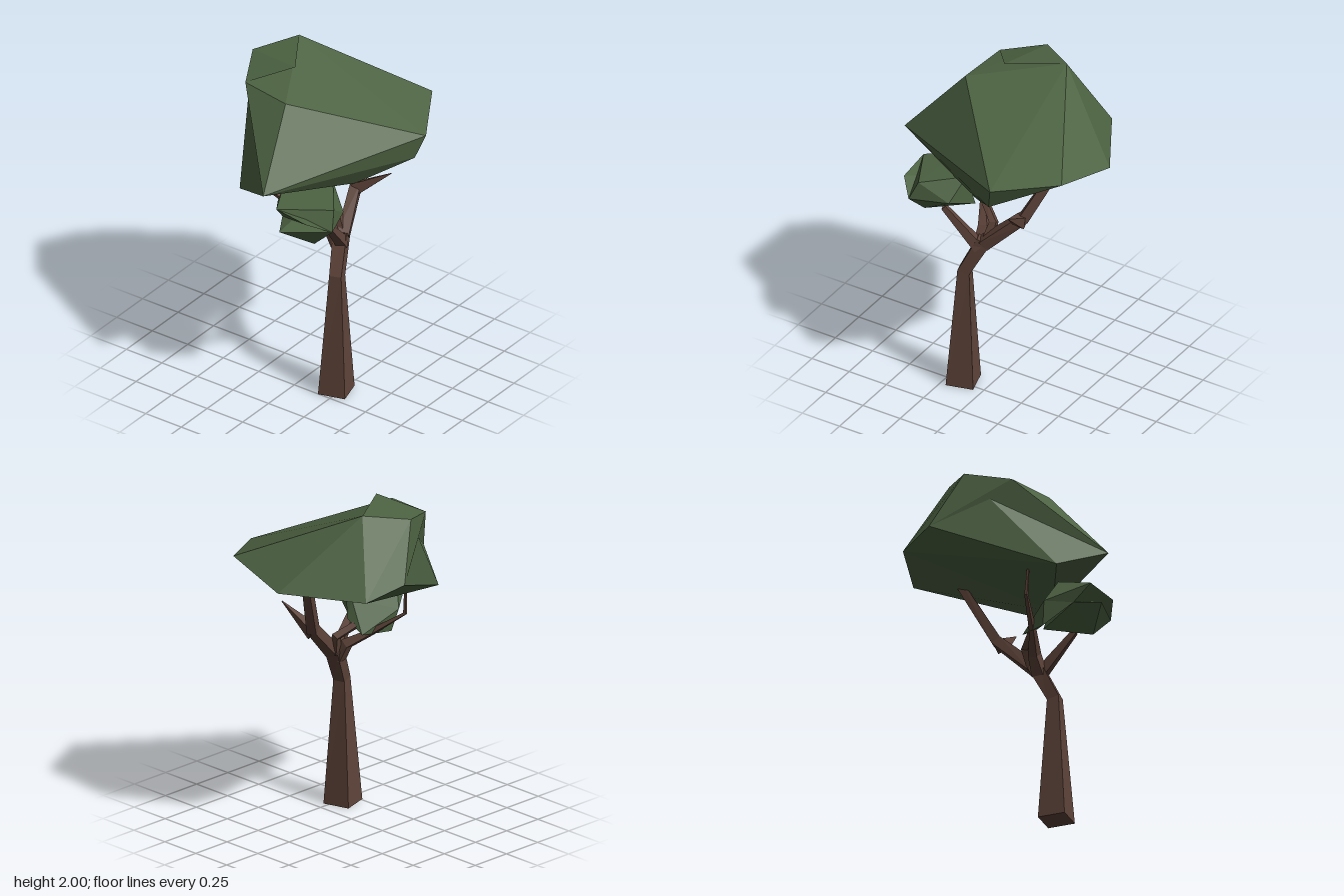
import * as THREE from 'three';
import { ConvexGeometry } from 'three/addons/geometries/ConvexGeometry.js';

const bark = new THREE.MeshStandardMaterial({ color: 0x5d4339, flatShading: true });
bark.name = 'bark brown';
const leaf = new THREE.MeshStandardMaterial({ color: 0x4d6342, flatShading: true });
leaf.name = 'leaf green';

// Four-sided tapering limb through rings of [x, y, z, corner radius]
function limb(name, rings) {
  const centres = rings.map(([x, y, z]) => new THREE.Vector3(x, y, z));
  const last = rings.length - 1;
  const pos = [];
  const idx = [0, 2, 1, 0, 3, 2];
  rings.forEach((ring, i) => {
    const dir = (a, b) => centres[b].clone().sub(centres[a]).normalize();
    const t = new THREE.Vector3();
    if (i > 0) t.add(dir(i - 1, i));
    if (i < last) t.add(dir(i, i + 1));
    t.normalize();
    const u = new THREE.Vector3(0.1, 0, 0.055);
    u.addScaledVector(t, -u.dot(t)).normalize();
    const v = new THREE.Vector3().crossVectors(t, u);
    for (let k = 0; k < 4; k++) {
      const p = centres[i].clone().addScaledVector(k % 2 ? v : u, k < 2 ? ring[3] : -ring[3]);
      pos.push(p.x, p.y, p.z);
      if (i < last) {
        const a = i * 4 + k, b = i * 4 + (k + 1) % 4;
        idx.push(a, b, b + 4, a, b + 4, a + 4);
      }
    }
  });
  const e = last * 4;
  idx.push(e, e + 1, e + 2, e, e + 2, e + 3);
  let geo = new THREE.BufferGeometry();
  geo.setAttribute('position', new THREE.Float32BufferAttribute(pos, 3));
  geo.setIndex(idx);
  geo = geo.toNonIndexed();
  geo.computeVertexNormals();
  const mesh = new THREE.Mesh(geo, bark);
  mesh.name = name;
  return mesh;
}

// Faceted leaf mass wrapped around a few corner points
function foliage(name, points) {
  const mesh = new THREE.Mesh(new ConvexGeometry(points.map((p) => new THREE.Vector3(...p))), leaf);
  mesh.name = name;
  return mesh;
}

export function createModel() {
  const tree = new THREE.Group();
  tree.name = 'tree';

  // Trunk and branches
  tree.add(
    limb('trunk', [[0.226, 0, 0.155, 0.115], [0.225, 0.76, 0.145, 0.051], [0.18, 0.98, 0.04, 0.058]]),
    limb('backBranch', [[0.19, 0.96, 0.04, 0.05], [0.12, 1.18, -0.19, 0.042], [-0.01, 1.56, -0.37, 0.032]]),
    limb('backTwig', [[0.13, 1.15, -0.17, 0.05], [0.34, 1.3, -0.22, 0.003]]),
    limb('frontBranch', [[0.2, 0.93, 0.06, 0.045], [0.25, 1.16, 0.27, 0.022]]),
    limb('sideBranch', [[0.18, 0.92, 0.07, 0.05], [0.12, 1.02, 0.08, 0.04], [0.0, 1.1, 0.16, 0.022], [-0.18, 1.24, 0.25, 0.012], [-0.175, 1.4, 0.26, 0.008]]),
    limb('innerBranch', [[0.17, 0.97, 0.03, 0.04], [0.13, 1.08, 0.01, 0.03], [0.07, 1.14, 0.1, 0.025]])
  );

  // Main canopy: two masses sharing most corners leave a fold at the front, plus a lip on top
  const crown = [-0.3, 2, -0.21], shoulder = [-0.46, 1.96, 0.02], brow = [-0.335, 1.905, 0.263];
  const shared = [
    crown, shoulder,
    [-0.025, 1.89, 0.3], [0.57, 1.625, -0.24], [0.36, 1.675, -0.59], [-0.06, 1.58, -0.65],
    [-0.505, 1.57, -0.385], [-0.575, 1.635, -0.145], [0.07, 1.48, 0.648],
    [0.3, 1.365, 0.07], [0.52, 1.48, -0.2],
  ];
  tree.add(
    foliage('canopyUpper', [...shared, brow]),
    foliage('canopyLower', [...shared, [-0.21, 1.355, 0.49]]),
    foliage('canopyLip', [crown, shoulder, brow, [-0.11, 2, 0.09]])
  );

  // Small leaf clump under the canopy: overlapping lobes
  const rightTip = [0.39, 1.24, 0.42], notch = [0.04, 1.225, 0.42], frontTop = [0.07, 1.33, 0.52];
  const back = [0.2, 1.38, 0.15], rightBack = [0.31, 1.24, 0.2], leftTip = [-0.08, 1.225, 0.3];
  tree.add(
    foliage('clumpLeftLobe', [
      notch, back, leftTip, [-0.05, 1.09, 0.27], [0, 1.1, 0.085], [0.12, 1.17, 0.085],
      [-0.01, 1.355, 0.35], [0.12, 1.28, 0.12],
    ]),
    foliage('clumpRightLobe', [
      rightTip, notch, back, rightBack, [0.12, 1.215, 0.56], [0.25, 1.105, 0.4], [0.15, 1.18, 0.12],
    ]),
    foliage('clumpCap', [
      rightTip, notch, back, rightBack, leftTip, frontTop,
      [0.365, 1.355, 0.37], [-0.01, 1.355, 0.35], [0.12, 1.28, 0.12],
    ]),
    foliage('clumpFrontLobe', [rightTip, notch, frontTop, [0.28, 1.3, 0.52], [0.2, 1.29, 0.42]])
  );
  return tree;
}
